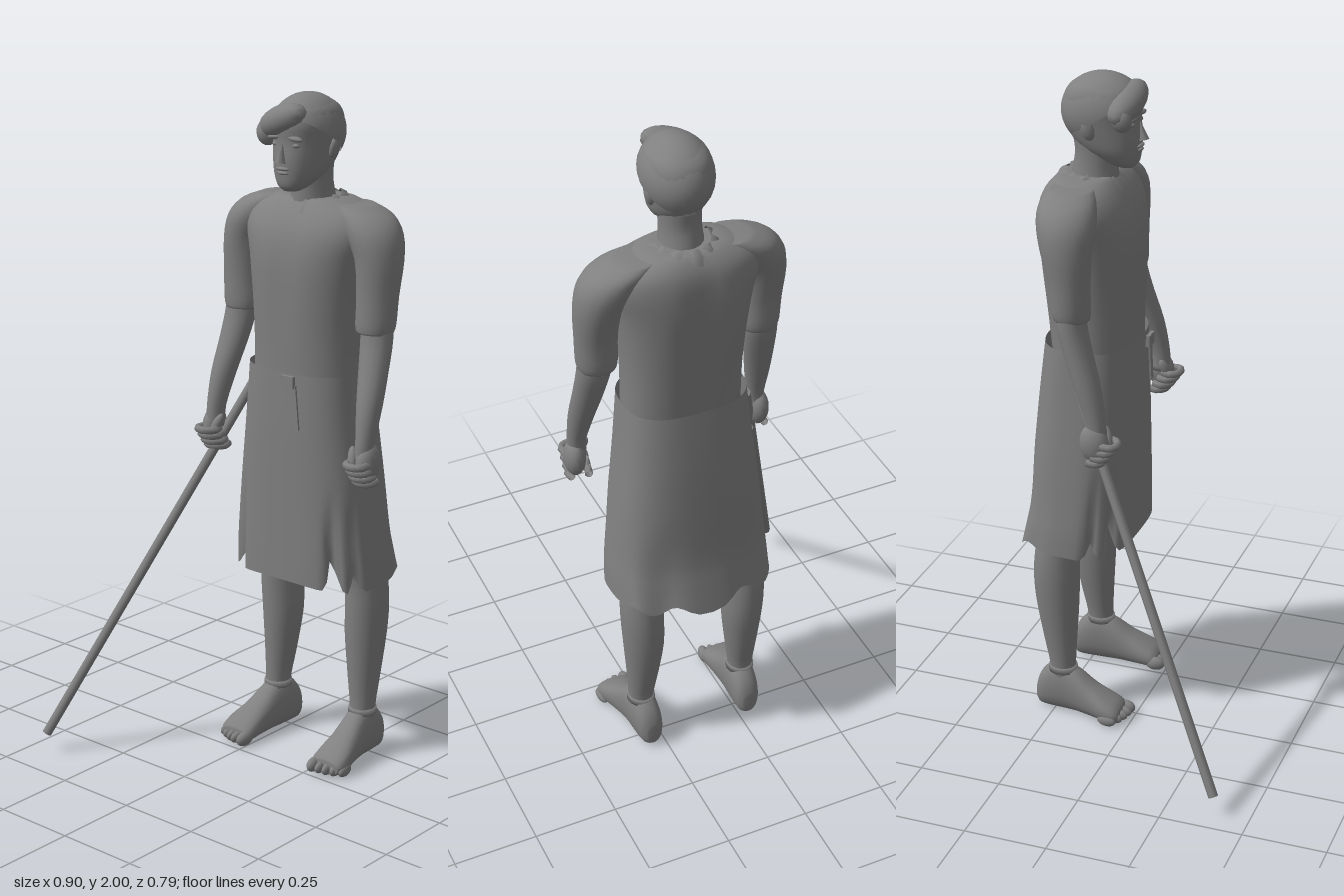
import * as THREE from 'three';

const grey = new THREE.MeshStandardMaterial({ color: 0x808080, side: THREE.DoubleSide });
grey.name = 'plain grey';
const CX = 0.13; // the figure's own middle line

const catmull = (a, b, c, d, t) =>
  0.5 * (2 * b + (c - a) * t + (2 * a - 5 * b + 4 * c - d) * t * t + (3 * b - a - 3 * c + d) * t * t * t);

// Smooth skin over rings [y, centreX, halfWidth, frontZ, backZ], listed upwards.
function loft(rings, { n = 24, sub = 3, p = 1, caps = true, mod } = {}) {
  const last = rings.length - 1, rows = [];
  const at = (i) => rings[Math.min(last, Math.max(0, i))];
  for (let k = 0; k <= last * sub; k++) {
    const i = Math.min(last - 1, Math.floor(k / sub)), t = k / sub - i;
    rows.push(rings[0].map((_, c) => catmull(at(i - 1)[c], at(i)[c], at(i + 1)[c], at(i + 2)[c], t)));
  }
  const pos = [], idx = [], v = new THREE.Vector3();
  const pw = (q) => Math.sign(q) * Math.abs(q) ** p;
  for (const [y, x, w, zf, zb] of rows) {
    for (let j = 0; j < n; j++) {
      const a = (j / n) * Math.PI * 2;
      v.set(x + w * pw(Math.cos(a)), y, (zf + zb) / 2 + ((zf - zb) / 2) * pw(Math.sin(a)));
      if (mod) mod(v, a);
      pos.push(v.x, v.y, v.z);
    }
  }
  for (let i = 0; i < rows.length - 1; i++) {
    for (let j = 0; j < n; j++) {
      const a = i * n + j, b = i * n + ((j + 1) % n);
      idx.push(a, a + n, b, b, a + n, b + n);
    }
  }
  if (caps) {
    for (const [r, up] of [[0, false], [rows.length - 1, true]]) {
      const [y, x, , zf, zb] = rows[r], c = pos.length / 3;
      pos.push(x, y, (zf + zb) / 2);
      for (let j = 0; j < n; j++) {
        const a = r * n + j, b = r * n + ((j + 1) % n);
        idx.push(...(up ? [c, b, a] : [c, a, b]));
      }
    }
  }
  const g = new THREE.BufferGeometry();
  g.setAttribute('position', new THREE.Float32BufferAttribute(pos, 3));
  g.setIndex(idx);
  g.computeVertexNormals();
  return g;
}

export function createModel() {
  const model = new THREE.Group();
  model.name = 'manWithStaff';
  const add = (name, geo, parent = model) => {
    const m = new THREE.Mesh(geo, grey);
    m.name = name;
    parent.add(m);
    return m;
  };
  const blob = (name, [x, y, z], [rx, ry, rz], rot = [0, 0, 0], parent = model) => {
    const m = add(name, new THREE.SphereGeometry(1, 16, 10), parent);
    m.position.set(x, y, z);
    m.scale.set(rx, ry, rz);
    m.rotation.set(...rot);
    return m;
  };
  const rod = (name, a, b, r, sides, parent = model) => {
    const A = new THREE.Vector3(...a), B = new THREE.Vector3(...b);
    const m = add(name, new THREE.CylinderGeometry(r, r, A.distanceTo(B), sides), parent);
    m.position.copy(A).add(B).multiplyScalar(0.5);
    m.quaternion.setFromUnitVectors(new THREE.Vector3(0, 1, 0), B.sub(A).normalize());
    return m;
  };
  const bump = (d, w) => Math.exp(-((d / w) ** 2));

  // Shirt body with a groove down the spine and chest
  add('shirtBody', loft([
    [1.16, CX, 0.172, -0.04, -0.285], [1.3, CX, 0.172, -0.035, -0.3], [1.42, CX, 0.18, -0.03, -0.313],
    [1.53, CX, 0.195, -0.03, -0.32], [1.61, CX, 0.215, -0.045, -0.315], [1.665, CX, 0.2, -0.075, -0.3],
    [1.7, CX, 0.125, -0.105, -0.272], [1.705, CX, 0.07, -0.12, -0.25],
  ], {
    n: 36, p: 0.85,
    mod: (v) => {
      const groove = bump(v.x - CX, 0.04) * bump(v.y - 1.48, 0.18);
      v.z += v.z < -0.17 ? 0.02 * groove : -0.008 * groove;
    },
  }));

  // Ragged collar
  add('collar', loft([
    [1.675, CX, 0.105, -0.075, -0.288], [1.7, CX, 0.095, -0.095, -0.275], [1.71, CX, 0.078, -0.105, -0.255],
  ], { n: 30, sub: 1, caps: false, mod: (v, a) => { v.y += 0.008 * Math.sin(a * 11) - (v.z > -0.15 ? 0.012 : 0); } }));

  // Skirt with folds, two front slits and a torn hem
  add('skirt', loft([
    [0.57, CX, 0.243, -0.03, -0.385], [0.64, CX, 0.24, -0.03, -0.365], [0.72, CX, 0.232, -0.03, -0.348],
    [0.88, CX, 0.215, -0.03, -0.335], [1.05, CX, 0.195, -0.03, -0.32], [1.21, CX, 0.18, -0.033, -0.302],
  ], {
    n: 72, sub: 4, p: 0.72, caps: false,
    mod: (v, a) => {
      const low = THREE.MathUtils.clamp((0.86 - v.y) / 0.29, 0, 1);
      const back = Math.max(0, -Math.sin(a));
      const slit = bump(a - 0.85, 0.1) + bump(a - 2.3, 0.1) + 0.5 * bump(a - 0.45, 0.09) + 0.5 * bump(a - 2.7, 0.09);
      const k = 1 - low * (0.2 * slit + back * 0.05 * (1 + Math.cos(a * 7 + 1.2)));
      v.x = CX + (v.x - CX) * k;
      v.z = -0.19 + (v.z + 0.19) * k;
      v.y += low ** 4 * (0.09 * slit + 0.018 * back * Math.sin(a * 9) - 0.008 * Math.sin(a * 3));
    },
  }));

  // Belt clasp and its hanging strap
  const clasp = add('beltClasp', new THREE.BoxGeometry(0.045, 0.035, 0.012));
  clasp.position.set(0.168, 1.19, -0.016);
  const strap = add('beltStrap', new THREE.BoxGeometry(0.018, 0.13, 0.006));
  strap.position.set(0.19, 1.115, -0.022);
  strap.rotation.z = 0.1;

  // Neck and head
  add('neck', loft([
    [1.62, CX, 0.08, -0.1, -0.25], [1.7, CX, 0.062, -0.1, -0.24], [1.76, CX, 0.058, -0.1, -0.228], [1.82, CX, 0.06, -0.1, -0.235],
  ], { n: 18 }));
  add('head', loft([
    [1.73, CX, 0.022, -0.052, -0.1], [1.745, CX, 0.044, -0.038, -0.135], [1.78, CX, 0.066, -0.032, -0.2],
    [1.82, CX, 0.076, -0.03, -0.24], [1.87, CX, 0.084, -0.034, -0.255], [1.92, CX, 0.09, -0.03, -0.258],
    [1.96, CX, 0.078, -0.05, -0.24], [1.985, CX, 0.045, -0.09, -0.2],
  ], { n: 24, p: 0.9 }));
  const nose = add('nose', new THREE.ConeGeometry(0.014, 0.055, 6));
  nose.position.set(CX, 1.84, -0.028);
  nose.rotation.x = -0.2;
  nose.scale.z = 1.2;
  blob('upperLip', [CX, 1.796, -0.034], [0.024, 0.006, 0.011]);
  blob('lowerLip', [CX, 1.784, -0.036], [0.02, 0.006, 0.011]);
  for (const s of [-1, 1]) {
    blob('brow', [CX + s * 0.036, 1.882, -0.043], [0.026, 0.008, 0.012], [0, 0, -s * 0.1]);
    blob('eye', [CX + s * 0.034, 1.862, -0.048], [0.014, 0.007, 0.01]);
    blob('ear', [CX + s * 0.084, 1.85, -0.16], [0.012, 0.032, 0.02], [-0.2, 0, s * -0.15]);
  }

  // Hair cap, lower at the nape, with a fringe swept across the brow
  const cap = new THREE.SphereGeometry(1, 28, 16, 0, Math.PI * 2, 0, Math.PI * 0.53);
  cap.rotateX(-0.6);
  cap.scale(0.1, 0.112, 0.126);
  add('hairCap', cap).position.set(CX, 1.888, -0.141);
  blob('fringe', [0.105, 1.925, -0.062], [0.092, 0.044, 0.048], [0, -0.15, 0.4]);
  blob('fringeTip', [0.052, 1.888, -0.062], [0.026, 0.038, 0.034], [0, -0.4, 0.2]);

  for (const s of [-1, 1]) {
    const X = (d) => CX + s * d;
    const side = s < 0 ? 'right' : 'left';
    const arm = new THREE.Group(), leg = new THREE.Group();
    arm.name = side + 'Arm';
    leg.name = side + 'Leg';
    model.add(arm, leg);

    // Sleeve, bare forearm and fist
    add('sleeve', loft([
      [1.345, X(0.243), 0.054, -0.1, -0.203], [1.37, X(0.244), 0.059, -0.097, -0.21], [1.45, X(0.246), 0.06, -0.097, -0.218],
      [1.55, X(0.242), 0.067, -0.092, -0.243], [1.62, X(0.215), 0.081, -0.09, -0.262], [1.667, X(0.178), 0.08, -0.105, -0.265],
      [1.695, X(0.13), 0.06, -0.13, -0.25],
    ], { n: 20 }), arm);
    add('forearm', loft([
      [0.99, X(0.278), 0.026, -0.035, -0.095], [1.05, X(0.279), 0.027, -0.038, -0.1], [1.15, X(0.272), 0.037, -0.055, -0.135],
      [1.25, X(0.26), 0.045, -0.085, -0.17], [1.33, X(0.252), 0.049, -0.105, -0.193], [1.4, X(0.247), 0.048, -0.11, -0.198],
    ], { n: 16 }), arm);
    blob('palm', [X(0.288), 0.985, -0.07], [0.031, 0.06, 0.044], [-0.15, 0, 0], arm);
    for (let i = 0; i < 4; i++) {
      const y = 0.93 + i * 0.02, z = -0.1 + i * 0.014;
      const pts = [[0.305, z + 0.012], [0.305, z + 0.045], [0.275, z + 0.055], [0.248, z + 0.035], [0.255, z + 0.005]];
      const path = new THREE.CatmullRomCurve3(pts.map(([d, q]) => new THREE.Vector3(X(d), y - (i < 1 ? 0 : 0.003), q)));
      add('finger', new THREE.TubeGeometry(path, 10, 0.0115, 7), arm);
    }
    blob('thumb', [X(0.255), 1.0, -0.043], [0.014, 0.036, 0.015], [-0.4, 0, s * 0.3], arm);

    // Leg
    add('shin', loft([
      [0.1, X(0.165), 0.038, -0.185, -0.27], [0.16, X(0.165), 0.038, -0.187, -0.268], [0.25, X(0.162), 0.047, -0.183, -0.287],
      [0.38, X(0.16), 0.06, -0.176, -0.31], [0.48, X(0.163), 0.063, -0.172, -0.314], [0.58, X(0.16), 0.064, -0.165, -0.305],
      [0.75, X(0.13), 0.078, -0.12, -0.29], [0.95, X(0.1), 0.085, -0.1, -0.28],
    ], { n: 20 }), leg);

    // Foot: rings run from heel to toes, then the shape is laid forward
    const foot = loft([
      [-0.312, X(0.16), 0.018, -0.015, -0.075], [-0.295, X(0.161), 0.036, -0.002, -0.12], [-0.25, X(0.163), 0.043, 0, -0.16],
      [-0.19, X(0.166), 0.043, 0, -0.15], [-0.13, X(0.172), 0.049, 0, -0.108], [-0.08, X(0.177), 0.057, 0, -0.08],
      [-0.045, X(0.178), 0.056, 0, -0.06], [-0.03, X(0.178), 0.046, -0.006, -0.045],
    ], { n: 20, p: 0.85 });
    foot.rotateX(Math.PI / 2);
    add('foot', foot, leg);
    for (let i = 0; i < 5; i++) {
      const r = i ? 0.0125 : 0.017;
      blob('toe', [X(0.136 + i * 0.022 + (i ? 0.004 : 0)), 0.022 - i * 0.001, -0.031 - i * i * 0.002], [r, i ? 0.018 : 0.022, 0.031], [0, s * 0.12, 0], leg);
    }
    add('ankleBand', loft([
      [0.135, X(0.165), 0.042, -0.18, -0.273], [0.155, X(0.165), 0.041, -0.182, -0.271],
    ], { n: 16, sub: 1 }), leg);
  }

  // Long staff held in the right hand
  rod('staff', [-0.08, 1.11, -0.15], [-0.433, 0.06, 0.392], 0.0145, 8);

  return model;
}
